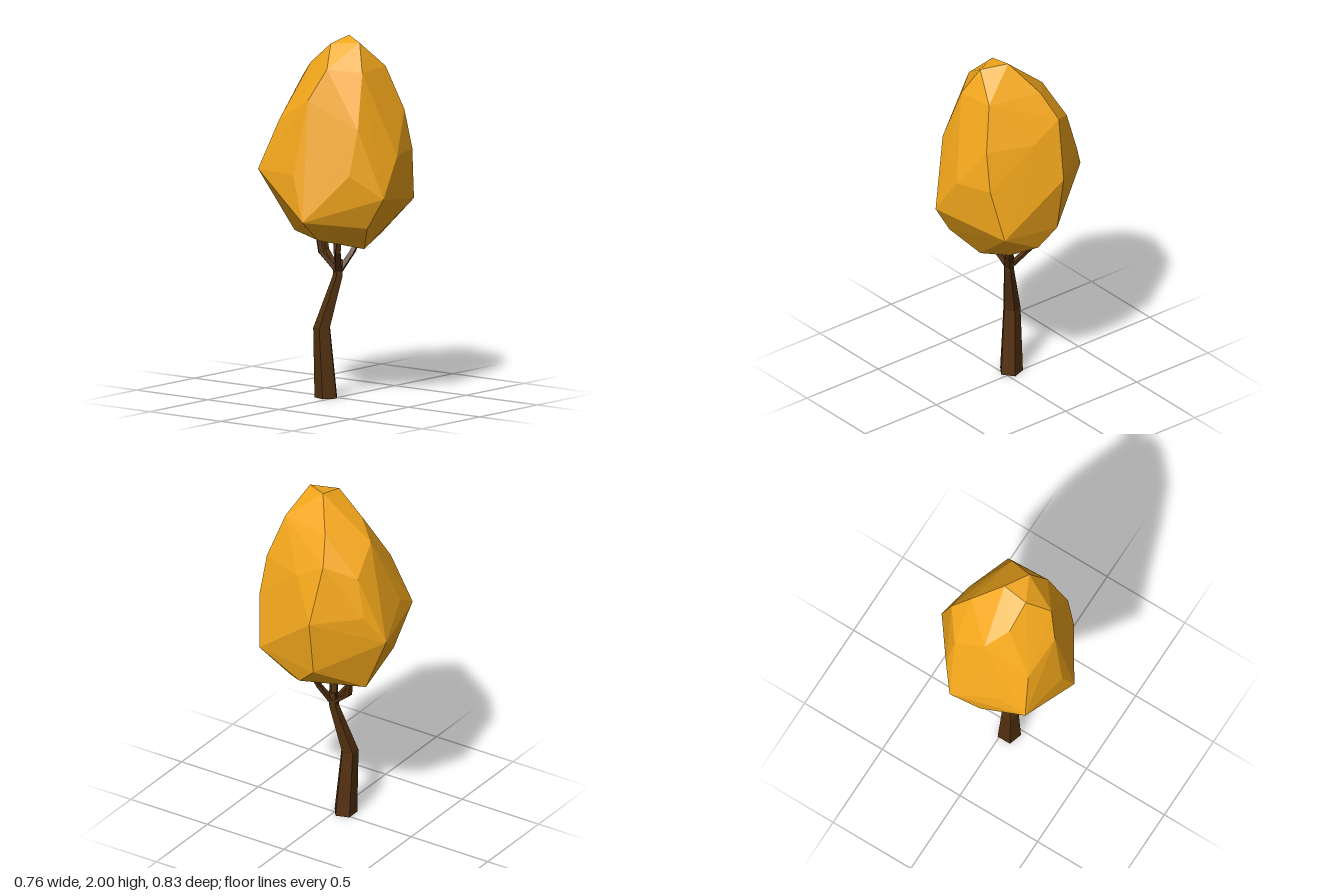
import * as THREE from 'three';
import { ConvexGeometry } from 'three/addons/geometries/ConvexGeometry.js';

const bark = new THREE.MeshStandardMaterial({ color: 0x52300f, flatShading: true });
const leaves = new THREE.MeshStandardMaterial({ color: 0xf5a81c, flatShading: true });

// Faceted limb lofted through level rings; each stop is [x, y, z, radius]
function limb(name, stops, sides = 5, turn = 0.3) {
  const pos = [], index = [];
  for (const [x, y, z, r] of stops) {
    for (let i = 0; i < sides; i++) {
      const a = turn + (i / sides) * Math.PI * 2;
      pos.push(x + r * Math.cos(a), y, z + r * Math.sin(a));
    }
  }
  for (let k = 0; k < stops.length - 1; k++) {
    for (let i = 0; i < sides; i++) {
      const a = k * sides + i, b = k * sides + ((i + 1) % sides);
      index.push(a, a + sides, b, b, a + sides, b + sides);
    }
  }
  const top = (stops.length - 1) * sides;
  for (let i = 1; i < sides - 1; i++) {
    index.push(0, i, i + 1, top, top + i + 1, top + i);
  }
  const geo = new THREE.BufferGeometry();
  geo.setAttribute('position', new THREE.Float32BufferAttribute(pos, 3));
  geo.setIndex(index);
  geo.computeVertexNormals();
  const mesh = new THREE.Mesh(geo, bark);
  mesh.name = name;
  return mesh;
}

// Crown corners as rough tiers, each corner [x, y, z]
const tiers = {
  tip: [[0.055, 2, 0.04], [-0.09, 1.97, 0.03], [-0.02, 1.98, 0.175]],
  shoulder: [
    [0.13, 1.84, 0.235], [-0.09, 1.83, 0.25], [-0.21, 1.85, 0.1],
    [-0.08, 1.85, -0.12], [0.005, 1.76, -0.24], [0.2, 1.84, -0.07],
  ],
  upper: [
    [0.2, 1.6, 0.31], [-0.19, 1.53, 0.3], [-0.28, 1.68, 0.025], [-0.25, 1.55, -0.2],
    [0.18, 1.62, -0.27], [0.295, 1.7, -0.12], [0.295, 1.6, 0.05],
  ],
  middle: [
    [0.04, 1.37, 0.39], [0.25, 1.38, 0.325], [0.38, 1.37, -0.085], [0.2, 1.4, -0.325],
    [-0.15, 1.36, -0.33], [-0.3, 1.27, -0.31], [-0.355, 1.27, -0.02], [-0.24, 1.28, 0.28],
  ],
  lower: [
    [-0.11, 1.15, 0.415], [0.32, 1.09, 0.28], [0.33, 1.05, -0.08], [0.12, 1.24, -0.415],
    [-0.04, 1.12, -0.36], [-0.38, 1.02, 0.065],
  ],
  underside: [
    [-0.12, 0.98, 0.31], [0, 0.84, 0.19], [0.2, 0.9, 0.15], [0.3, 0.95, 0.03],
    [0.1, 0.91, -0.27], [-0.12, 0.92, -0.2], [-0.22, 0.9, 0.05], [0.02, 0.85, 0],
  ],
};

export function createModel() {
  const tree = new THREE.Group();
  tree.name = 'tree';

  // Crooked trunk
  tree.add(limb('trunk', [
    [-0.03, 0, -0.047, 0.067], [-0.046, 0.385, -0.065, 0.05],
    [0.01, 0.67, 0, 0.03], [0.015, 0.76, 0, 0.026],
  ]));

  // Forked branches reaching into the crown
  const forks = [
    [[-0.055, 0.81, 0.05], [-0.075, 0.95, 0.085]],
    [[0.07, 0.8, 0.05], [0.13, 0.92, 0.08]],
    [[0.06, 0.8, -0.13], [0.07, 0.95, -0.15]],
    [[-0.05, 0.8, -0.07], [-0.07, 0.95, -0.09]],
    [[0.01, 0.84, -0.01], [0, 1, -0.02]],
  ];
  const branches = new THREE.Group();
  branches.name = 'branches';
  forks.forEach(([bend, end], i) => {
    branches.add(limb(`branch${i + 1}`, [
      [0.012, 0.69, 0, 0.024], [...bend, 0.02], [...end, 0.012],
    ], 4, i * 0.5));
  });
  tree.add(branches);

  // Faceted leaf crown
  const corners = Object.values(tiers).flat().map((p) => new THREE.Vector3(...p));
  const crown = new THREE.Mesh(new ConvexGeometry(corners), leaves);
  crown.name = 'crown';
  tree.add(crown);

  return tree;
}
